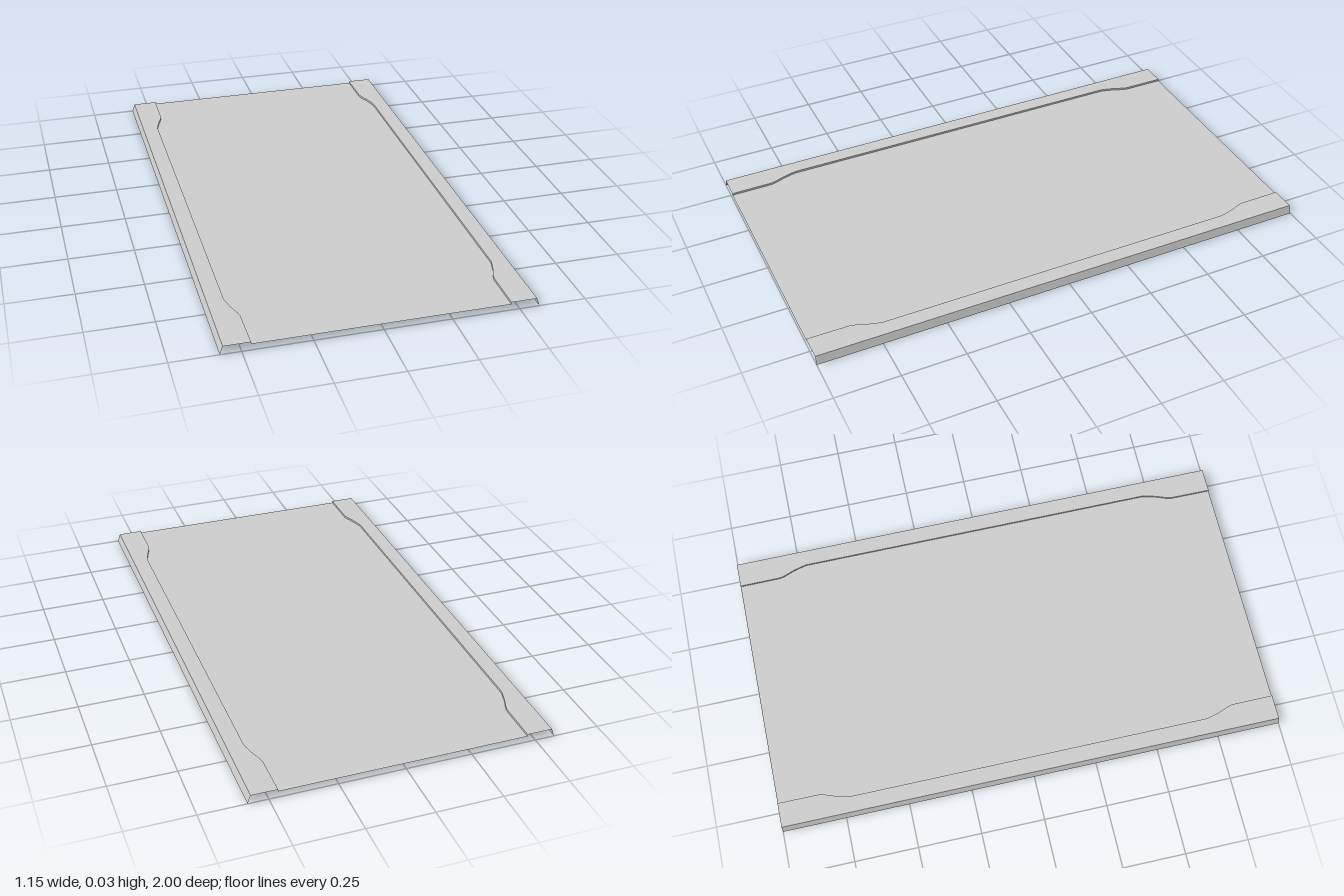
import * as THREE from 'three';

const PANEL_Y = 0.024, RIM_Y = 0.032;

// Half-width of the recessed panel along its length: wide in the middle, pinched at the ends
const halfOutline = [[0, 0.502], [0.72, 0.502], [0.735, 0.499], [0.775, 0.488], [0.815, 0.473], [0.835, 0.468], [1, 0.467]];
const stations = [
  ...halfOutline.slice(1).reverse().map(([z, x]) => [-z, x]),
  ...halfOutline,
];

const material = new THREE.MeshStandardMaterial({ color: 0xcccccc, flatShading: true, side: THREE.DoubleSide });

// Sheet spanning two edges; each edge gives [x, y] for a panel half-width.
// Faces point up when edge a lies to the left (-x) of edge b.
function sheet(name, a, b) {
  const positions = [], index = [];
  stations.forEach(([z, w], i) => {
    positions.push(...a(w), z, ...b(w), z);
    if (i > 0) {
      const k = 2 * i;
      index.push(k - 2, k, k + 1, k - 2, k + 1, k - 1);
    }
  });
  const geometry = new THREE.BufferGeometry();
  geometry.setAttribute('position', new THREE.Float32BufferAttribute(positions, 3));
  geometry.setIndex(index);
  geometry.computeVertexNormals();
  const mesh = new THREE.Mesh(geometry, material);
  mesh.name = name;
  return mesh;
}

export function createModel() {
  const group = new THREE.Group();
  group.name = 'trayPanel';

  // Recessed centre panel
  group.add(sheet('centrePanel', (w) => [-w, PANEL_Y], (w) => [w, PANEL_Y]));

  // Step wall, raised rim and folded-down lip on each side
  for (const [side, s] of [['left', 1], ['right', -1]]) {
    const edges = [
      (w) => [s * w, PANEL_Y],
      (w) => [s * w, RIM_Y],
      () => [s * 0.564, RIM_Y],
      () => [s * 0.575, 0],
    ];
    ['StepWall', 'Rim', 'Lip'].forEach((part, i) => {
      const pair = [edges[i], edges[i + 1]];
      if (s < 0) pair.reverse();
      group.add(sheet(side + part, ...pair));
    });
  }
  return group;
}
